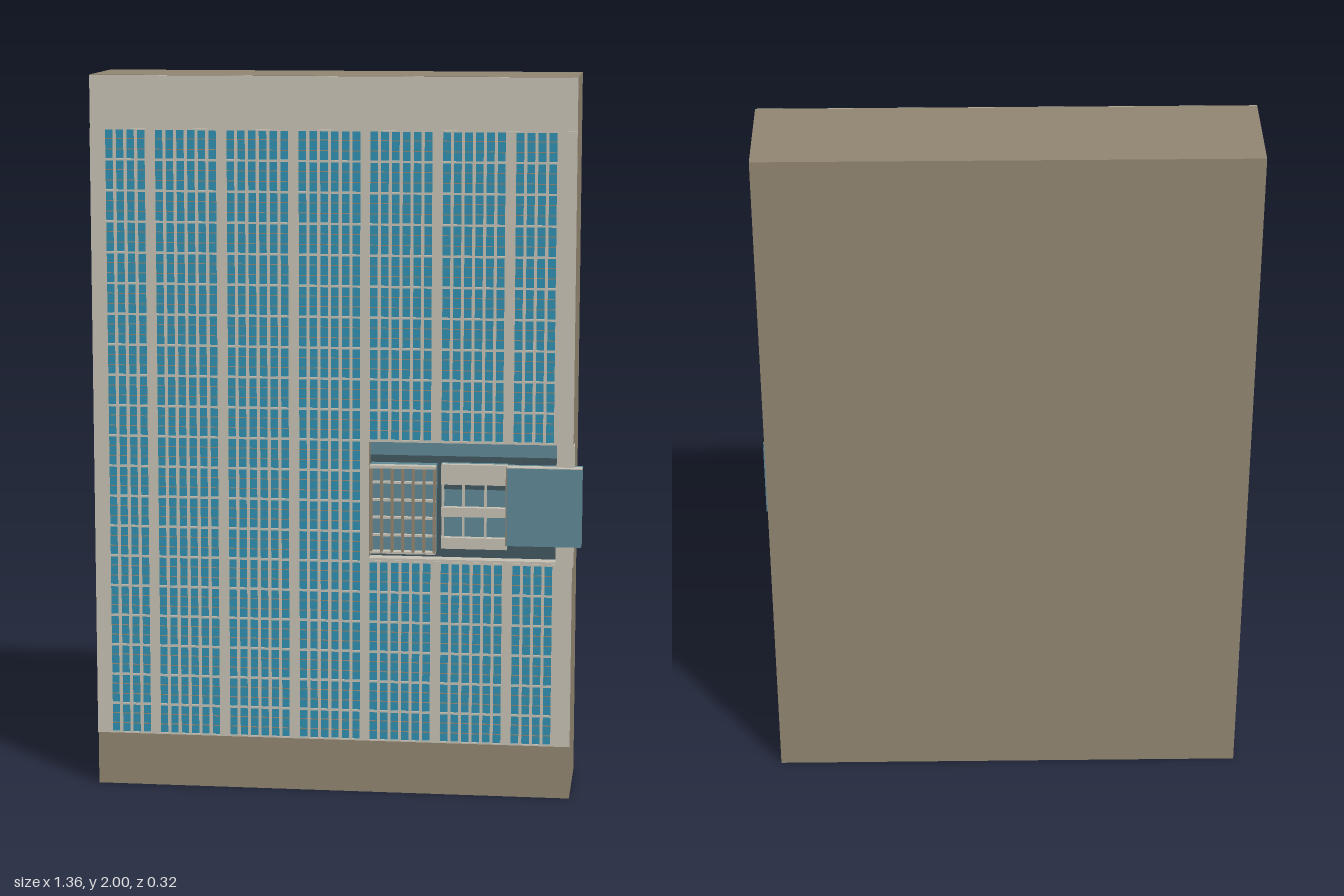
import * as THREE from 'three';

const mat = (name, color) => new THREE.MeshStandardMaterial({ name, color });

export function createModel() {
  const stone = mat('brown stone', 0x918571);
  const cream = mat('cream concrete', 0xc5c0b3);
  const glass = mat('blue glass', 0x2f8eae);
  const panel = mat('grey blue panel', 0x5f8896);
  const slate = mat('dark slate', 0x42575f);

  const model = new THREE.Group();
  model.name = 'towerBlock';

  // Box given by its limits
  const box = (parent, name, m, x0, x1, y0, y1, z0, z1) => {
    const mesh = new THREE.Mesh(new THREE.BoxGeometry(x1 - x0, y1 - y0, z1 - z0), m);
    mesh.position.set((x0 + x1) / 2, (y0 + y1) / 2, (z0 + z1) / 2);
    mesh.name = name;
    parent.add(mesh);
    return mesh;
  };
  const trace = (path, x0, x1, y0, y1) =>
    path.moveTo(x0, y0).lineTo(x1, y0).lineTo(x1, y1).lineTo(x0, y1).closePath();
  // Flat slab pierced by rectangular openings
  const pierced = (parent, name, m, [x0, x1, y0, y1], holes, z0, z1) => {
    const shape = trace(new THREE.Shape(), x0, x1, y0, y1);
    for (const h of holes) shape.holes.push(trace(new THREE.Path(), ...h));
    const geo = new THREE.ExtrudeGeometry(shape, { depth: z1 - z0, bevelEnabled: false });
    const mesh = new THREE.Mesh(geo, m);
    mesh.position.z = z0;
    mesh.name = name;
    parent.add(mesh);
  };

  const L = -0.68, R = 0.652, BASE = 0.15, CROWN = 1.855;
  const recess = [0.09, 0.607, 0.667, 1.0];

  // Main block, with a shallow recess in its front
  box(model, 'body', stone, L, R, 0, 2, -0.162, 0.1);
  pierced(model, 'bodyFront', stone, [L, R, 0, 2], [recess], 0.1, 0.135);
  box(model, 'crownBand', cream, L, R, CROWN, 1.999, 0.135, 0.138);

  // Groups of narrow window strips: start x and number of strips
  const facade = new THREE.Group();
  facade.name = 'facade';
  model.add(facade);
  const groups = [[-0.638, 4], [-0.5, 6], [-0.302, 6], [-0.104, 6], [0.092, 6], [0.29, 6], [0.488, 4]];
  const pitch = 0.0296, stripWidth = 0.0215;
  const slots = [recess];
  const floors = 20, floorHeight = (CROWN - BASE) / floors;
  for (const [start, count] of groups) {
    const end = start + (count - 1) * pitch + stripWidth;
    const spans = start > 0.05
      ? [[BASE + 0.004, recess[2] - 0.006], [recess[3] + 0.006, CROWN - 0.004]]
      : [[BASE + 0.004, CROWN - 0.004]];
    for (const [y0, y1] of spans) {
      for (let i = 0; i < count; i++) {
        const x = start + i * pitch;
        slots.push([x, x + stripWidth, y0, y1]);
      }
      box(facade, 'glazing', glass, start, end, y0, y1, 0.1345, 0.1365);
      // Floor bands and the two thin rails within each storey
      for (let k = 0; k < floors * 3; k++) {
        const y = BASE + (k * floorHeight) / 3;
        if (y < y0 + 0.006 || y > y1 - 0.006) continue;
        const floorLine = k % 3 === 0;
        const h = floorLine ? 0.003 : 0.0012;
        box(facade, floorLine ? 'floorBand' : 'windowRail', floorLine ? cream : stone,
          start, end, y - h, y + h, 0.1365, floorLine ? 0.141 : 0.139);
      }
    }
  }
  pierced(facade, 'facadePiers', cream, [L, R, BASE, CROWN], slots, 0.135, 0.1425);

  // Recess back wall, lintel and sill
  const bay = new THREE.Group();
  bay.name = 'projectingBay';
  model.add(bay);
  box(bay, 'recessWall', slate, 0.09, 0.607, 0.667, 1.0, 0.1, 0.102);
  box(bay, 'lintelPanel', panel, 0.09, 0.607, 0.958, 1.0, 0.1, 0.106);
  box(bay, 'sill', cream, 0.09, 0.607, 0.667, 0.673, 0.1, 0.14);
  box(bay, 'cornerPlate', cream, 0.607, 0.655, 0.66, 1.0, 0.1, 0.1425);

  // Louvred screen
  const sx0 = 0.094, sx1 = 0.276, sy0 = 0.69, sy1 = 0.937;
  box(bay, 'screenBacking', panel, sx0, sx1, sy0, sy1, 0.102, 0.134);
  box(bay, 'screenTop', cream, sx0, sx1, sy1 - 0.008, sy1, 0.134, 0.16);
  box(bay, 'screenBottom', cream, sx0, sx1, sy0, sy0 + 0.006, 0.134, 0.16);
  for (let i = 0; i <= 6; i++) {
    const x = sx0 + ((sx1 - sx0 - 0.007) * i) / 6;
    box(bay, 'screenFin', stone, x, x + 0.007, sy0, sy1 - 0.008, 0.134, 0.16);
  }
  for (let i = 1; i <= 4; i++) {
    const y = sy0 + ((sy1 - sy0) * i) / 5;
    box(bay, 'screenShelf', cream, sx0, sx1, y - 0.003, y + 0.003, 0.134, 0.148);
  }

  // Balcony section: panes, cream parapets and mullions
  const bx0 = 0.29, bx1 = 0.472;
  box(bay, 'balconyGlass', panel, bx0, bx1, 0.704, 0.94, 0.102, 0.118);
  for (const [y0, y1] of [[0.884, 0.94], [0.794, 0.82], [0.704, 0.735]])
    box(bay, 'balconyParapet', cream, bx0, bx1, y0, y1, 0.118, 0.14);
  box(bay, 'balconyHead', slate, bx0, bx1, 0.868, 0.884, 0.118, 0.121);
  for (const x of [0.29, 0.347, 0.408])
    box(bay, 'balconyMullion', cream, x, x + 0.007, 0.735, 0.884, 0.118, 0.127);

  // Corner box that overhangs the side of the block
  const cx0 = 0.472, cx1 = 0.677, cy0 = 0.72, cy1 = 0.937;
  box(bay, 'cornerBox', panel, cx0, cx1, cy0, cy1, 0.1005, 0.16);
  box(bay, 'cornerBoxTop', cream, cx0, cx1, cy1, cy1 + 0.002, 0.127, 0.16);
  box(bay, 'cornerBoxEdge', stone, cx0 - 0.003, cx0, cy0, cy1, 0.102, 0.16);

  return model;
}
